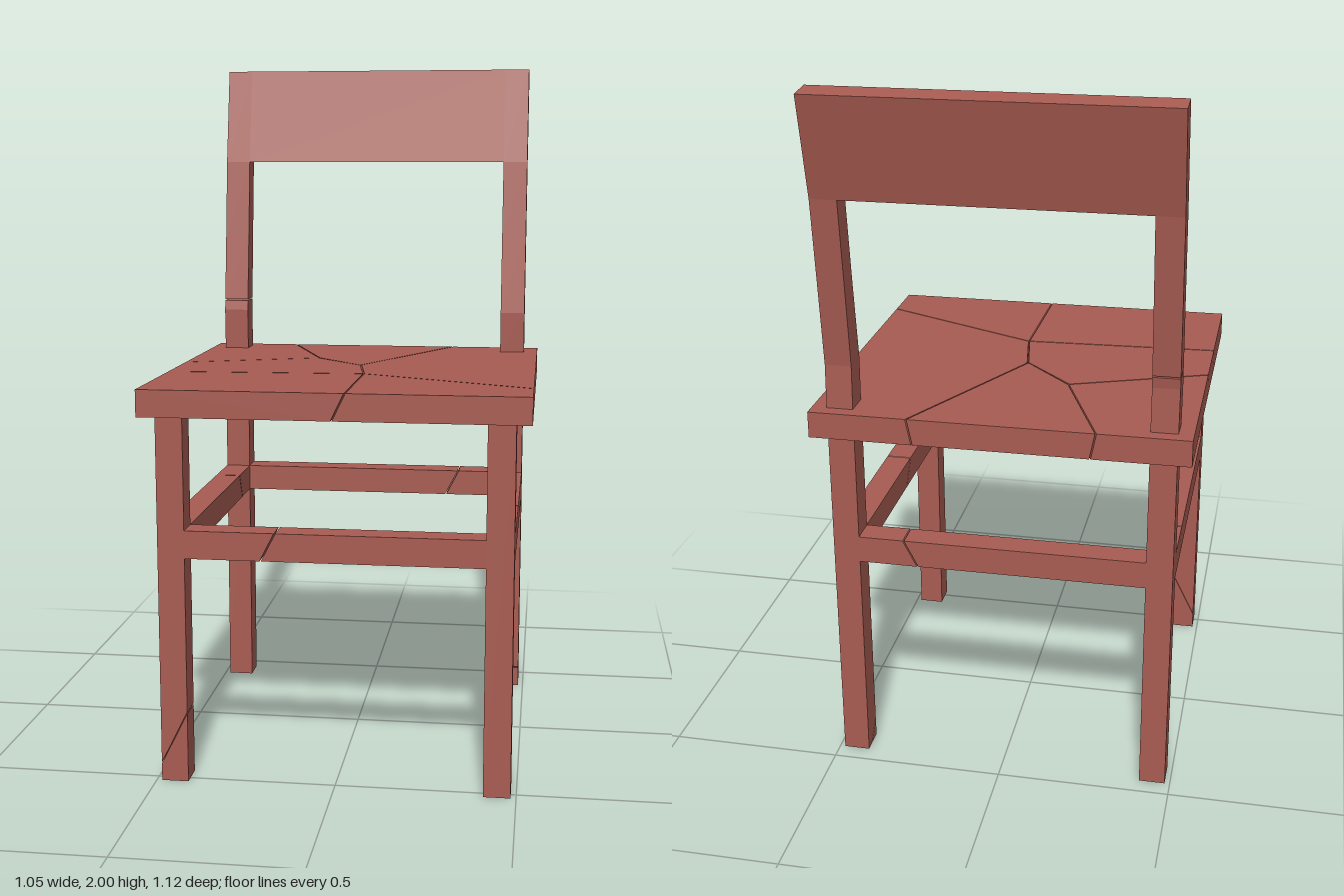
import * as THREE from 'three';

const material = new THREE.MeshStandardMaterial({ color: 0xa85c52, flatShading: true });
const GAP = 0.002; // half width of a crack

export function createModel() {
  const chair = new THREE.Group();
  const add = (name, geometry) => {
    const mesh = new THREE.Mesh(geometry, material);
    mesh.name = name;
    chair.add(mesh);
  };

  // Outline in the (x, y) plane run along z, or in the (z, y) plane run along x
  const slab = (name, plane, points, from, to) => {
    const shape = new THREE.Shape(points.map(([u, v]) => new THREE.Vector2(u, v)));
    const g = new THREE.ExtrudeGeometry(shape, { depth: to - from, bevelEnabled: false });
    if (plane === 'zy') g.rotateY(-Math.PI / 2).translate(to, 0, 0);
    else g.translate(0, 0, from);
    add(name, g);
  };
  const rect = (u0, u1, v0, v1) => [[u0, v0], [u1, v0], [u1, v1], [u0, v1]];

  // Legs
  const IN = 0.41, OUT = 0.485, TOP = 1.035;
  const FZ = [0.45, 0.525], BZ = [-0.45, -0.372];
  slab('frontLegLeft', 'xy', rect(IN, OUT, 0, TOP), ...FZ);
  slab('backLegRight', 'xy', rect(-OUT, -IN, 0, TOP), ...BZ);
  // Front right leg, split by a slanting crack
  slab('frontLegRightFoot', 'xy',
    [[-OUT, 0], [-IN, 0], [-IN, 0.2 - GAP], [-OUT, 0.05 - GAP]], ...FZ);
  slab('frontLegRight', 'xy',
    [[-OUT, 0.05 + GAP], [-IN, 0.2 + GAP], [-IN, TOP], [-OUT, TOP]], ...FZ);
  // Back left leg with a chipped front corner
  slab('backLegLeft', 'zy',
    [[BZ[0], 0], [-0.422, 0], [BZ[1], 0.064], [BZ[1], TOP], [BZ[0], TOP]], IN, OUT);
  slab('backLegLeftChip', 'zy', [[-0.418, 0], [BZ[1], 0], [BZ[1], 0.06]], IN, OUT);

  // Stretchers, each in two pieces along a slanting crack
  const stretcher = (name, plane, u0, u1, cutLow, cutHigh, from, to) => {
    const y0 = 0.64, y1 = 0.718;
    slab(name + 'A', plane, [[u0, y0], [cutLow - GAP, y0], [cutHigh - GAP, y1], [u0, y1]], from, to);
    slab(name + 'B', plane, [[cutLow + GAP, y0], [u1, y0], [u1, y1], [cutHigh + GAP, y1]], from, to);
  };
  stretcher('frontStretcher', 'xy', -IN, IN, -0.2, -0.16, ...FZ);
  stretcher('backStretcher', 'xy', -IN, IN, 0.24, 0.28, ...BZ);
  stretcher('leftStretcher', 'zy', BZ[1], FZ[0], 0.05, 0.105, IN, OUT);
  stretcher('rightStretcher', 'zy', BZ[1], FZ[0], -0.25, -0.21, -OUT, -IN);

  // Curved back: front and rear edges of the post as [z, y], from the bottom up
  const front = [[-0.373, 1.11], [-0.37, 1.235], [-0.402, 1.474], [-0.43, 1.71], [-0.487, 2]];
  const rear = [[-0.45, 1.11], [-0.445, 1.235], [-0.471, 1.474], [-0.498, 1.71], [-0.562, 1.99]];
  const profile = (a, b) => [...a, ...[...b].reverse()];
  slab('backPostLeft', 'zy', profile(front, rear), IN, OUT);
  const cutFront = [-0.375, 1.267], cutRear = [-0.449, 1.267];
  const shift = ([z, y], d) => [z, y + d];
  slab('backPostRightStub', 'zy', profile(
    [...front.slice(0, 2), shift(cutFront, -GAP)],
    [...rear.slice(0, 2), shift(cutRear, -GAP)]), -OUT, -IN);
  slab('backPostRight', 'zy', profile(
    [shift(cutFront, GAP), ...front.slice(2)],
    [shift(cutRear, GAP), ...rear.slice(2)]), -OUT, -IN);
  slab('backRest', 'zy', profile(front.slice(3), rear.slice(3)), -IN, IN);

  // Seat: corner points as [top x, top z, bottom x, bottom z]
  const X = 0.527, Z0 = -0.49, Z1 = 0.562, Y0 = 1.035, Y1 = 1.11;
  const corner = (x, z) => [x, z, x, z];
  const A = [-0.27, Z0, -0.255, Z0], B = [0.25, Z0, 0.235, Z0];
  const P1 = [-0.14, -0.15, -0.135, -0.135], P2 = [0.008, 0, 0.02, 0.01];
  const P3 = [0.04, 0.185, 0.03, 0.17];
  const L1 = [-X, 0, -X, 0.015], L2 = [-X, 0.208, -X, 0.2];
  const F = [0.036, Z1, 0, Z1], R = [X, 0.41, X, 0.355];
  const pieces = [
    [A, B, P2, P1],
    [corner(-X, Z0), A, P1, L1],
    [L1, P1, P2, P3, L2],
    [L2, P3, F, corner(-X, Z1)],
    [P3, R, corner(X, Z1), F],
    [B, corner(X, Z0), R, P3, P2],
  ];
  pieces.forEach((piece, k) => {
    const n = piece.length;
    const mid = [0, 1, 2, 3].map((c) => piece.reduce((s, p) => s + p[c], 0) / n);
    // Draw the cracked edges in a little, keeping the outer rim in place
    const pts = piece.map((p) => p.map((v, c) => {
      const rim = c % 2 ? v === Z0 || v === Z1 : Math.abs(v) === X;
      return rim ? v : v + Math.sign(mid[c] - v) * Math.min(GAP, Math.abs(mid[c] - v));
    }));
    const top = pts.map((p) => [p[0], Y1, p[1]]);
    const low = pts.map((p) => [p[2], Y0, p[3]]);
    const tris = [];
    for (let i = 0; i < n; i++) {
      const j = (i + 1) % n;
      tris.push(top[i], top[j], low[i], top[j], low[j], low[i]);
      if (i > 0 && i < n - 1) tris.push(top[0], top[j], top[i], low[0], low[i], low[j]);
    }
    const g = new THREE.BufferGeometry();
    g.setAttribute('position', new THREE.Float32BufferAttribute(tris.flat(), 3));
    g.computeVertexNormals();
    add('seatPiece' + (k + 1), g);
  });

  return chair;
}
